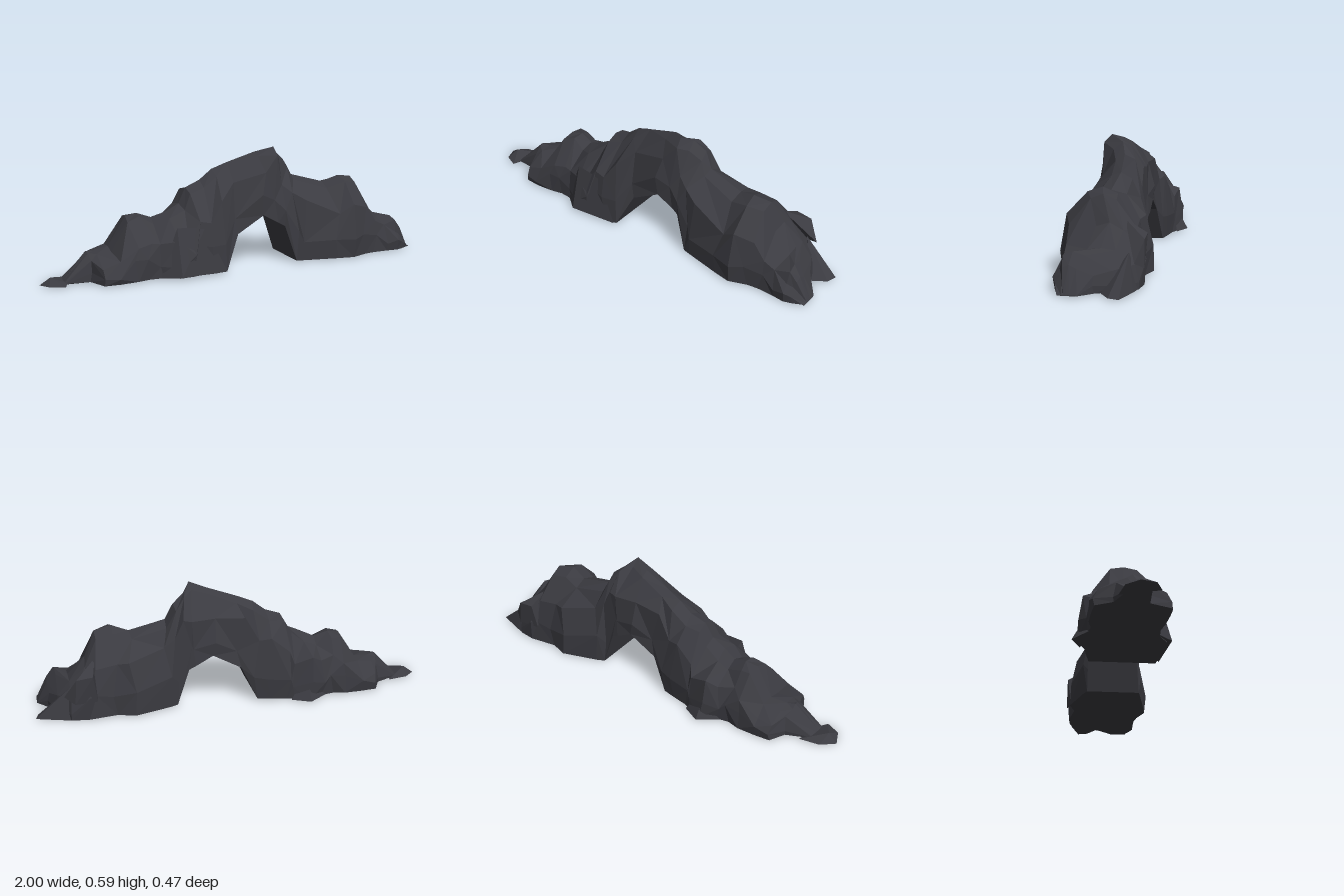
import * as THREE from 'three';
import { ConvexGeometry } from 'three/addons/geometries/ConvexGeometry.js';

// Slices along the arch: x, top y, front z, back z, ridge z
const SLICES = [
  [-0.89, 0.02, 0.08, -0.02, 0.04],
  [-0.77, 0.145, 0.09, -0.08, 0.01],
  [-0.73, 0.14, 0.195, -0.165, 0],
  [-0.65, 0.15, 0.2, -0.175, -0.02],
  [-0.56, 0.29, 0.19, -0.18, -0.01],
  [-0.5, 0.3, 0.175, -0.165, -0.02],
  [-0.43, 0.275, 0.18, -0.18, -0.01],
  [-0.36, 0.3, 0.225, -0.225, 0.01],
  [-0.29, 0.335, 0.22, -0.2, 0.01],
  [-0.25, 0.41, 0.21, -0.18, 0],
  [-0.17, 0.44, 0.21, -0.165, -0.01],
  [-0.105, 0.49, 0.2, -0.15, -0.01],
  [-0.025, 0.52, 0.15, -0.13, 0],
  [0.12, 0.567, 0.14, -0.135, 0.02],
  [0.205, 0.592, 0.135, -0.135, 0.06],
  [0.24, 0.56, 0.14, -0.13, 0],
  [0.3, 0.51, 0.16, -0.13, -0.02],
  [0.34, 0.43, 0.17, -0.15, -0.01],
  [0.52, 0.38, 0.21, -0.215, 0],
  [0.605, 0.41, 0.225, -0.185, 0.02],
  [0.69, 0.395, 0.19, -0.2, 0],
  [0.745, 0.28, 0.18, -0.21, -0.04],
  [0.83, 0.185, 0.18, -0.2, -0.02],
  [0.89, 0.18, 0.185, -0.1, 0.09],
  [0.93, 0.13, 0.17, -0.01, 0.1],
  [0.985, 0.015, 0.14, 0.06, 0.1],
];

// Small seeded generator giving -1..1
function seeded(seed) {
  return () => {
    seed = (seed * 16807) % 2147483647;
    return (seed / 2147483647) * 2 - 1;
  };
}

// Height of the underside: a peaked opening between the two legs
function underside(x) {
  const d = Math.abs(x - 0.12);
  return d < 0.16 ? 0.26 - 0.55 * d : 0.01;
}

// Ring of points around one slice, from front foot over the ridge to back foot
function ring([x, top, front, back, ridge], rand) {
  const base = underside(x);
  const h = top - base;
  const w = (front - back) * 0.17;
  const rough = Math.min(1, h / 0.25);
  const side = (z) => [[z * 0.93, 0, 0], [z, 0.3, 1], [z * 0.86, 0.66, 1]];
  const pts = [
    ...side(front),
    [ridge + w, 0.93, 0.4],
    [ridge, 1, 0],
    [ridge - w, 0.93, 0.4],
    ...side(back).reverse(),
  ];
  return pts.map(([z, t, loose]) => {
    const k = loose * rough;
    return [
      x + rand() * 0.022 * k,
      base + h * t + rand() * 0.035 * k,
      z - Math.sign(z) * Math.abs(rand()) * 0.022 * k,
    ];
  });
}

// Faceted skin stretched over all the slices, with closed ends
function archGeometry() {
  const rand = seeded(4127);
  const last = SLICES.length - 1;
  const rings = SLICES.map((s) => ring(s, rand));
  const count = rings[0].length;
  const index = [];
  for (let i = 0; i < last; i++) {
    for (let j = 0; j < count; j++) {
      const k = (j + 1) % count;
      const a = i * count + j, d = i * count + k;
      const b = a + count, c = d + count;
      // Vary the diagonal for irregular facets
      if ((i * 2 + j) % 3) index.push(a, b, c, a, c, d);
      else index.push(a, b, d, b, c, d);
    }
  }
  for (let j = 1; j < count - 1; j++) {
    const o = last * count;
    index.push(0, j, j + 1, o, o + j + 1, o + j);
  }
  const geo = new THREE.BufferGeometry();
  geo.setAttribute('position', new THREE.Float32BufferAttribute(rings.flat(2), 3));
  geo.setIndex(index);
  const flat = geo.toNonIndexed();
  flat.computeVertexNormals();
  return flat;
}

// Faceted lump wrapped around a few corner points
function lump(...points) {
  return new ConvexGeometry(points.map((p) => new THREE.Vector3(...p)));
}

export function createModel() {
  const group = new THREE.Group();
  group.name = 'rockArch';
  const rock = new THREE.MeshStandardMaterial({ color: 0x3b3b41 });
  rock.name = 'dark rock';

  const add = (name, geometry) => {
    const mesh = new THREE.Mesh(geometry, rock);
    mesh.name = name;
    group.add(mesh);
  };

  add('archBody', archGeometry());

  // Low toe at the right-hand end of the arch
  add('rightToe', lump(
    [-1, 0.005, 0.02], [-0.97, 0.01, 0.09], [-0.9, 0.01, 0.12], [-0.94, 0.01, -0.04],
    [-0.84, 0.01, -0.06], [-0.95, 0.04, 0.03], [-0.88, 0.015, 0.08],
  ));

  // Spur at the back of the left-hand end
  add('leftSpur', lump(
    [0.8, 0.01, -0.19], [0.82, 0.17, -0.14], [0.88, 0.01, -0.17], [1, 0.01, -0.13],
    [0.985, 0.01, -0.08], [0.91, 0.01, -0.03], [0.94, 0.05, -0.11],
  ));

  // Shoulder high on the back of the left-hand leg
  add('backShoulder', lump(
    [0.7, 0.1, -0.19], [0.72, 0.235, -0.205], [0.8, 0.225, -0.205],
    [0.81, 0.1, -0.205], [0.86, 0.13, -0.17], [0.7, 0.29, -0.1],
  ));

  // Pointed foot at the back of the right-hand leg
  add('backFoot', lump(
    [-0.36, 0.01, -0.234], [-0.46, 0.01, -0.16], [-0.27, 0.01, -0.19], [-0.36, 0.16, -0.15],
  ));

  // Buttress at the front of the right-hand leg
  add('frontButtress', lump(
    [-0.36, 0.02, 0.234], [-0.45, 0.01, 0.16], [-0.11, 0.015, 0.2],
    [-0.36, 0.25, 0.17], [-0.22, 0.24, 0.18], [-0.3, 0.1, 0.1],
  ));

  return group;
}
